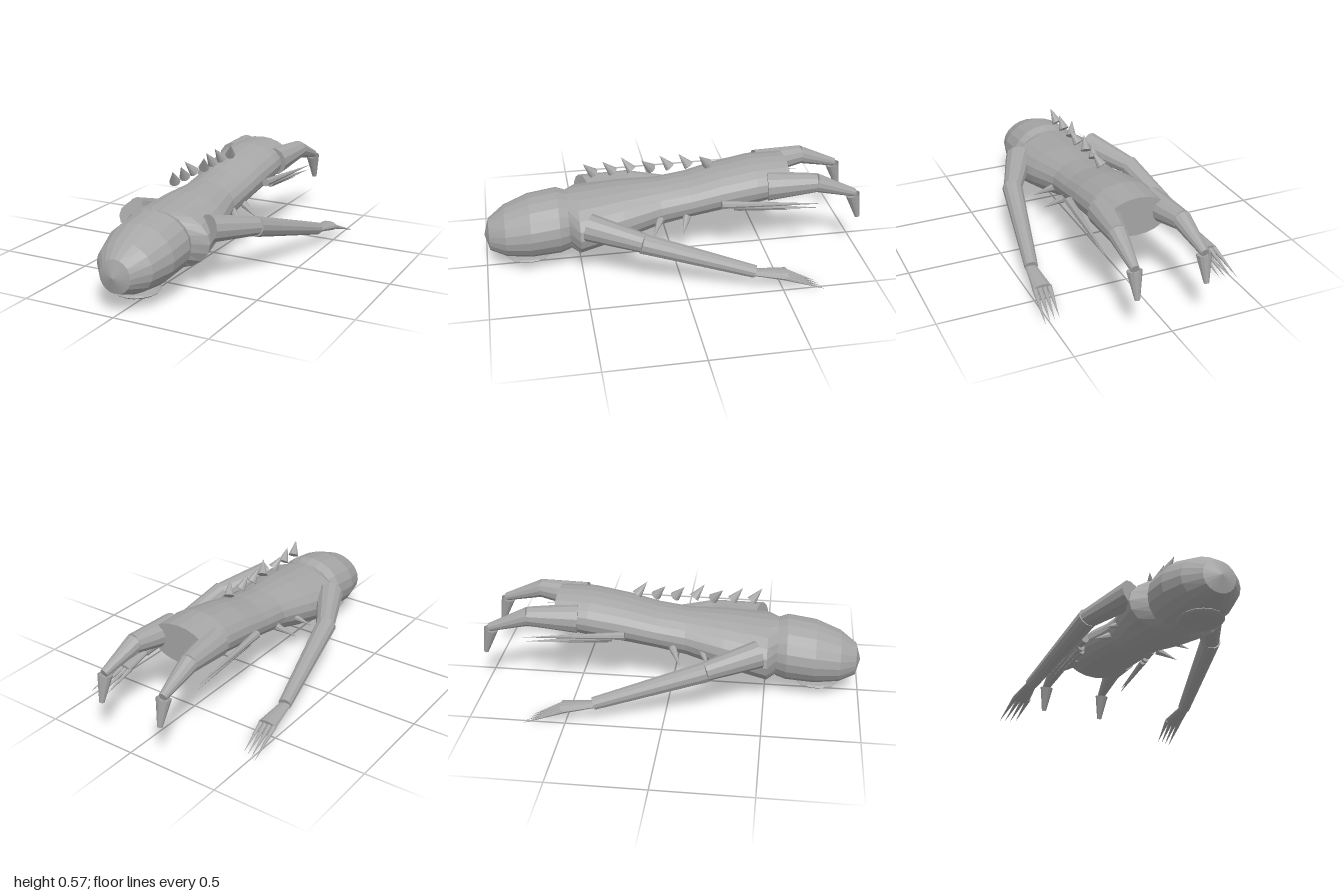
import * as THREE from 'three';

const skin = new THREE.MeshStandardMaterial({ color: 0xa6a6a6, flatShading: true, side: THREE.DoubleSide });
skin.name = 'grey skin';

const V = (p) => new THREE.Vector3(...p);

function add(parent, name, geometry) {
  const mesh = new THREE.Mesh(geometry, skin);
  mesh.name = name;
  parent.add(mesh);
  return mesh;
}

// Tapered segment from point a (radius ra) to point b (radius rb)
function limb(parent, name, a, b, ra, rb, sides = 12, open = false) {
  const dir = V(b).sub(V(a));
  const mesh = add(parent, name, new THREE.CylinderGeometry(rb, ra, dir.length(), sides, 1, open));
  mesh.position.copy(V(a)).addScaledVector(dir, 0.5);
  mesh.quaternion.setFromUnitVectors(new THREE.Vector3(0, 1, 0), dir.normalize());
  return mesh;
}

const spike = (parent, name, a, b, r, sides = 8) => limb(parent, name, a, b, r, 0, sides);

// Skin over elliptical sections [z, top, bottom, halfWidth], listed from front to back
function loft(sections, sides = 20) {
  const pos = [], index = [];
  sections.forEach(([z, top, bottom, w]) => {
    for (let j = 0; j < sides; j++) {
      const t = (j / sides) * Math.PI * 2;
      pos.push(w * Math.cos(t), (top + bottom) / 2 + ((top - bottom) / 2) * Math.sin(t), z);
    }
  });
  for (let i = 0; i < sections.length - 1; i++) {
    for (let j = 0; j < sides; j++) {
      const k = (j + 1) % sides;
      const a = i * sides + j, b = i * sides + k, c = a + sides, d = b + sides;
      if (sections[i][3] > 0) index.push(a, c, b);
      if (sections[i + 1][3] > 0) index.push(b, c, d);
    }
  }
  const geometry = new THREE.BufferGeometry();
  geometry.setAttribute('position', new THREE.Float32BufferAttribute(pos, 3));
  geometry.setIndex(index);
  geometry.computeVertexNormals();
  return geometry;
}

export function createModel() {
  const model = new THREE.Group();
  model.name = 'creature';

  // Torso with collar, narrow waist and blunt rear
  add(model, 'torso', loft([
    [0.58, 0.26, 0.26, 0], [0.58, 0.4, 0.12, 0.14], [0.51, 0.405, 0.095, 0.25],
    [0.28, 0.425, 0.145, 0.212], [0.08, 0.432, 0.2, 0.165], [-0.08, 0.452, 0.235, 0.168],
    [-0.24, 0.492, 0.262, 0.176], [-0.43, 0.525, 0.288, 0.182], [-0.61, 0.525, 0.32, 0.17],
    [-0.61, 0.42, 0.42, 0],
  ]));

  // Domed head pointing forward
  add(model, 'head', loft([
    [1.0, 0.2, 0.2, 0], [0.975, 0.285, 0.115, 0.085], [0.89, 0.345, 0.085, 0.155],
    [0.76, 0.395, 0.075, 0.193], [0.61, 0.418, 0.085, 0.195], [0.555, 0.4, 0.1, 0.17],
    [0.54, 0.25, 0.25, 0],
  ]));

  // Flat jaw under the head
  const jaw = add(model, 'jaw', new THREE.SphereGeometry(1, 16, 8));
  jaw.scale.set(0.112, 0.02, 0.125);
  jaw.position.set(0, 0.07, 0.775);

  // Leaning row of spines above the back
  for (let i = 0; i < 7; i++) {
    const z = 0.466 - i * 0.101;
    spike(model, 'backSpine', [0, 0.512, z - 0.053], [0.032 * Math.sin(i * 2.3 + 0.6), 0.577, z], 0.028, 10);
  }

  for (const s of [1, -1]) {
    const side = s > 0 ? 'left' : 'right';
    const at = (x, y, z) => [s * x, y, z];

    // Arm swept back along the body
    const arm = new THREE.Group();
    arm.name = side + 'Arm';
    model.add(arm);
    limb(arm, 'upperArm', at(0.215, 0.315, 0.465), at(0.348, 0.272, 0.2), 0.072, 0.05);
    limb(arm, 'forearm', at(0.348, 0.272, 0.21), at(0.458, 0.11, -0.355), 0.054, 0.034);
    const hand = limb(arm, 'hand', at(0.458, 0.108, -0.34), at(0.464, 0.08, -0.52), 0.028, 0.05);
    hand.scale.z = 0.5;
    for (let i = 0; i < 4; i++) {
      spike(arm, 'claw', at(0.425 + i * 0.025, 0.08, -0.51), at(0.442 + i * 0.028, 0.006, -0.685 - i * 0.011), 0.014);
    }

    // Leg with a hollow, downturned foot
    const leg = new THREE.Group();
    leg.name = side + 'Leg';
    model.add(leg);
    limb(leg, 'thigh', at(0.13, 0.42, -0.49), at(0.168, 0.437, -0.75), 0.078, 0.05);
    limb(leg, 'shin', at(0.168, 0.438, -0.74), at(0.18, 0.365, -0.955), 0.05, 0.022);
    limb(leg, 'foot', at(0.18, 0.355, -0.948), at(0.18, 0.218, -0.985), 0.038, 0.013, 12, true);

    // Long trailing quills beside the hip
    spike(model, side + 'Quill', at(0.2, 0.37, -0.23), at(0.235, 0.345, -0.775), 0.022);
    spike(model, side + 'Quill', at(0.195, 0.35, -0.3), at(0.228, 0.317, -0.765), 0.02);
    spike(model, side + 'Quill', at(0.185, 0.335, -0.32), at(0.212, 0.31, -0.62), 0.016);
  }

  // Staggered flank thorns
  [[1, -0.055, -0.015], [1, 0.085, 0.14], [-1, 0.015, 0.065], [-1, 0.165, 0.215]].forEach(([s, z0, z1]) => {
    spike(model, 'flankThorn', [s * 0.155, 0.29, z0], [s * 0.255, 0.235, z1], 0.022);
  });

  return model;
}
